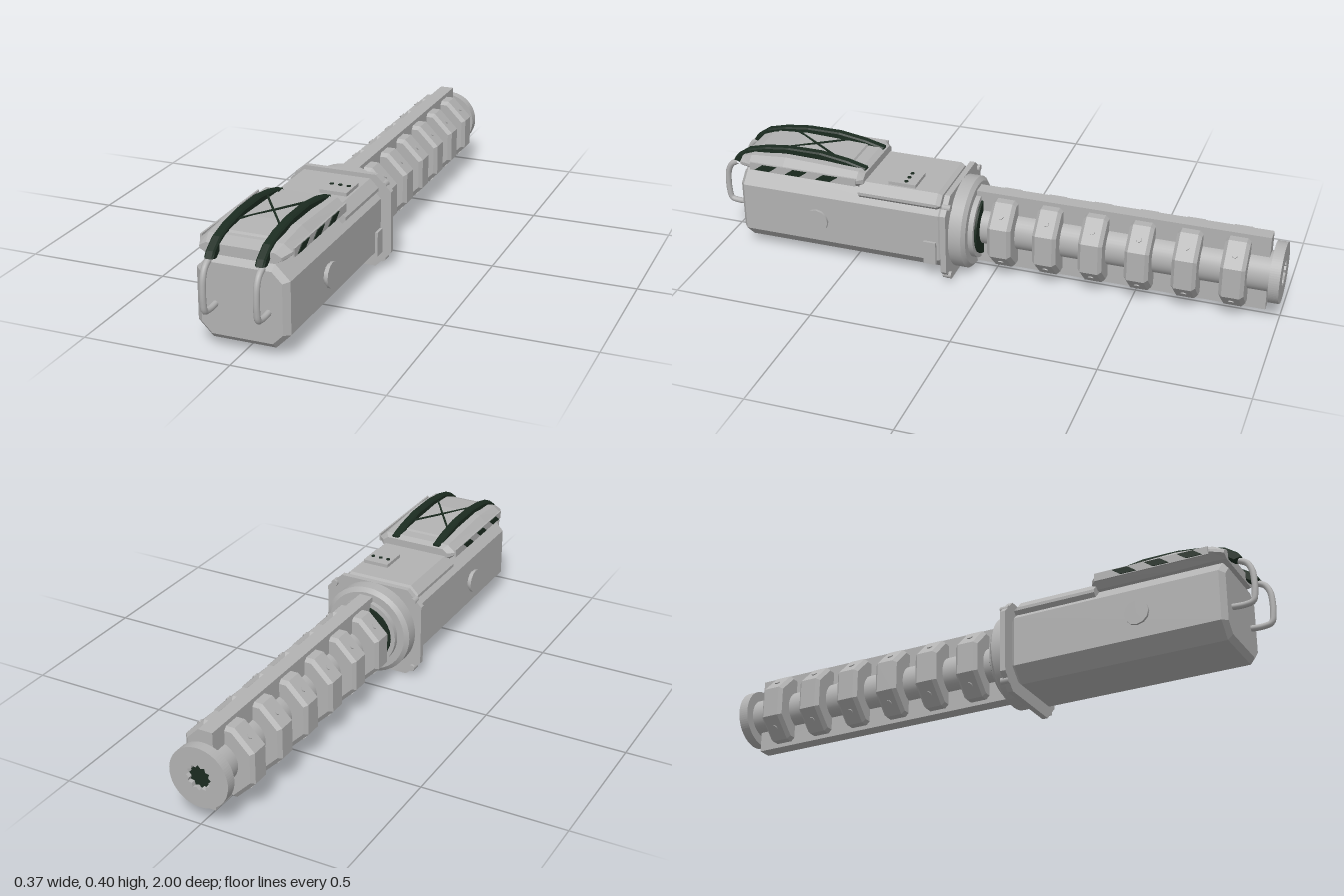
import * as THREE from 'three';

const AXIS_Y = 0.167; // height of the shaft axis

// Octagonal outline (counter-clockwise seen from +z): half width, bottom, top, chamfers
function octagon(hx, y0, y1, cx, cy = cx) {
  return [[hx - cx, y0], [hx, y0 + cy], [hx, y1 - cy], [hx - cx, y1],
    [-hx + cx, y1], [-hx, y1 - cy], [-hx, y0 + cy], [-hx + cx, y0]];
}

// Flat-shaded solid through outlines placed at rising z
function loft(sections) {
  const pos = [];
  const pt = (s, k) => [...sections[s][1][k % 8], sections[s][0]];
  const last = sections.length - 1;
  for (let s = 0; s < last; s++) {
    for (let k = 0; k < 8; k++) {
      const a = pt(s, k), b = pt(s, k + 1), c = pt(s + 1, k + 1), d = pt(s + 1, k);
      pos.push(...a, ...b, ...c, ...a, ...c, ...d);
    }
  }
  for (let k = 1; k < 7; k++) {
    pos.push(...pt(last, 0), ...pt(last, k), ...pt(last, k + 1));
    pos.push(...pt(0, 0), ...pt(0, k + 1), ...pt(0, k));
  }
  const g = new THREE.BufferGeometry();
  g.setAttribute('position', new THREE.Float32BufferAttribute(pos, 3));
  g.computeVertexNormals();
  return g;
}

// Side profile in (z, y) extruded across x, centred on x = 0
function sideExtrude(points, width, bevel = 0) {
  const shape = new THREE.Shape(points.map(p => new THREE.Vector2(...p)));
  const depth = width - 2 * bevel;
  return new THREE.ExtrudeGeometry(shape, {
    depth, bevelEnabled: bevel > 0, bevelSize: bevel, bevelThickness: bevel, bevelOffset: -bevel, bevelSegments: 1,
  }).translate(0, 0, -depth / 2).rotateY(-Math.PI / 2);
}

// Cylinder along z between two z positions, centred on the shaft axis
function zCylinder(rBack, rFront, z0, z1, sides = 40) {
  return new THREE.CylinderGeometry(rFront, rBack, z1 - z0, sides)
    .rotateX(Math.PI / 2).translate(0, AXIS_Y, (z0 + z1) / 2);
}

export function createModel() {
  const root = new THREE.Group();
  root.name = 'device';
  const grey = new THREE.MeshStandardMaterial({ color: 0xb2b2b2 });
  grey.name = 'light grey metal';
  const dark = new THREE.MeshStandardMaterial({ color: 0x1b2b20 });
  dark.name = 'dark green rubber';

  const add = (name, geo, mat = grey, x = 0, y = 0, z = 0) => {
    const m = new THREE.Mesh(geo, mat);
    m.name = name;
    m.position.set(x, y, z);
    root.add(m);
    return m;
  };
  const box = (name, w, h, d, x, y, z, mat = grey) =>
    add(name, new THREE.BoxGeometry(w, h, d), mat, x, y, z);

  // Main housing with a bevelled nose and a raised rear deck
  add('housing', loft([
    [0.15, octagon(0.14, 0.045, 0.295, 0.045)],
    [0.165, octagon(0.155, 0.03, 0.305, 0.05)],
    [0.895, octagon(0.155, 0.03, 0.305, 0.05)],
    [0.912, octagon(0.135, 0.048, 0.284, 0.034)],
  ]));
  add('rearDeck', loft([
    [0.16, octagon(0.145, 0.26, 0.318, 0.03)],
    [0.175, octagon(0.15, 0.255, 0.326, 0.03)],
    [0.46, octagon(0.15, 0.255, 0.326, 0.03)],
  ]));

  // Control panel with three dots
  box('controlPanel', 0.095, 0.014, 0.1, 0.065, 0.331, 0.31);
  for (const x of [0.035, 0.065, 0.095]) {
    add('panelDot', new THREE.CylinderGeometry(0.007, 0.007, 0.004, 10), dark, x, 0.339, 0.3);
  }

  // Side latch, on the left side only
  box('sideLatch', 0.016, 0.085, 0.045, 0.157, 0.11, 0.195);

  // Top pack
  add('topPack', loft([
    [0.445, octagon(0.13, 0.308, 0.352, 0.02, 0.014)],
    [0.465, octagon(0.152, 0.305, 0.363, 0.028, 0.024)],
    [0.74, octagon(0.152, 0.305, 0.373, 0.028, 0.026)],
    [0.87, octagon(0.152, 0.308, 0.362, 0.028, 0.022)],
    [0.912, octagon(0.135, 0.312, 0.346, 0.022, 0.012)],
  ]));
  add('topPackPanel', sideExtrude([[0.5, 0.355], [0.86, 0.355], [0.85, 0.37], [0.74, 0.379], [0.51, 0.371]], 0.13));

  for (const s of [-1, 1]) {
    // Slanted slits along the pack sides
    box('slitPlate', 0.006, 0.028, 0.4, s * 0.153, 0.335, 0.665);
    for (const z of [0.53, 0.645, 0.76]) {
      add('slit', sideExtrude([[z, 0.346], [z + 0.03, 0.324], [z + 0.085, 0.324], [z + 0.055, 0.346]].reverse(), 0.004),
        dark, s * 0.157);
    }

    // Arched strap over the pack, hanging past the nose
    add('strap', sideExtrude([[0.45, 0.352], [0.6, 0.368], [0.76, 0.37], [0.87, 0.35], [0.93, 0.306],
      [0.958, 0.314], [0.945, 0.335], [0.9, 0.366], [0.83, 0.384], [0.74, 0.395], [0.62, 0.395], [0.52, 0.38],
      [0.45, 0.362]], 0.031, 0.005), dark, s * 0.083);

    // Front hook
    const hook = new THREE.CatmullRomCurve3([[0.15, 0.9], [0.148, 0.955], [0.155, 0.982], [0.185, 0.989],
      [0.225, 0.99], [0.265, 0.985], [0.293, 0.97], [0.308, 0.945]].map(([y, z]) => new THREE.Vector3(s * 0.088, y, z)));
    add('frontHook', new THREE.TubeGeometry(hook, 32, 0.0105, 10));

    // Round side button on a wider washer
    add('buttonWasher', new THREE.CylinderGeometry(0.036, 0.036, 0.024, 12).rotateZ(Math.PI / 2), grey, s * 0.152, 0.165, 0.615);
    add('sideButton', new THREE.CylinderGeometry(0.043, 0.043, 0.009, 12).rotateZ(Math.PI / 2), grey, s * 0.167, 0.165, 0.615);

    // Crossed cord between the straps
    const cord = box('crossCord', 0.006, 0.005, Math.hypot(0.14, 0.21), 0, 0.379, 0.675, dark);
    cord.rotation.y = s * Math.atan2(0.14, 0.21);

    // Flange bolts on the plate corners
    for (const y of [0.032, 0.295]) {
      add('flangeBolt', new THREE.CylinderGeometry(0.012, 0.012, 0.03, 10).rotateX(Math.PI / 2),
        grey, s * 0.155, y, 0.132);
    }
  }

  // Flange plate and stepped collar
  add('flangePlate', loft([
    [0.127, octagon(0.185, 0, 0.33, 0.055)],
    [0.147, octagon(0.185, 0, 0.33, 0.055)],
  ]));
  add('collar', zCylinder(0.163, 0.163, 0.082, 0.13));
  add('collarBevel', zCylinder(0.148, 0.163, 0.07, 0.082));
  add('collarStep', zCylinder(0.122, 0.122, 0.052, 0.072));
  add('collarSeal', zCylinder(0.106, 0.106, 0.044, 0.053, 24), dark);

  // Shaft with its full-length spine
  add('shaft', zCylinder(0.07, 0.07, -0.968, 0.08));
  box('spine', 0.05, 0.277, 1.02, 0, AXIS_Y, -0.442);

  // Bevelled octagonal rings with screws on the slanted faces
  for (let i = 0; i < 6; i++) {
    const z = -0.04 - i * 0.1612;
    const ringOutline = r => octagon(r, AXIS_Y - r, AXIS_Y + r, r * 0.56);
    add('ring', loft([
      [z - 0.042, ringOutline(0.112)], [z - 0.03, ringOutline(0.124)],
      [z + 0.03, ringOutline(0.124)], [z + 0.042, ringOutline(0.112)],
    ]));
    for (const a of [0.25, 0.75, 1.25, 1.75]) {
      const c = Math.cos(a * Math.PI), s = Math.sin(a * Math.PI);
      const screw = add('ringScrew', new THREE.CylinderGeometry(0.01, 0.01, 0.008, 10), grey, c * 0.126, AXIS_Y + s * 0.126, z);
      screw.rotation.z = a * Math.PI - Math.PI / 2;
    }
  }

  // End cap with a toothed socket
  const cap = new THREE.Shape().absarc(0, 0, 0.105, 0, Math.PI * 2);
  const teeth = [];
  for (let i = 0; i < 24; i++) {
    const r = i % 2 ? 0.036 : 0.045, a = -i * Math.PI / 12;
    teeth.push(new THREE.Vector2(Math.cos(a) * r, Math.sin(a) * r));
  }
  cap.holes.push(new THREE.Path(teeth));
  add('endCap', new THREE.ExtrudeGeometry(cap, { depth: 0.036, bevelEnabled: false, curveSegments: 40 }),
    grey, 0, AXIS_Y, -1);
  add('socket', zCylinder(0.05, 0.05, -0.984, -0.97, 24), dark);

  return root;
}
